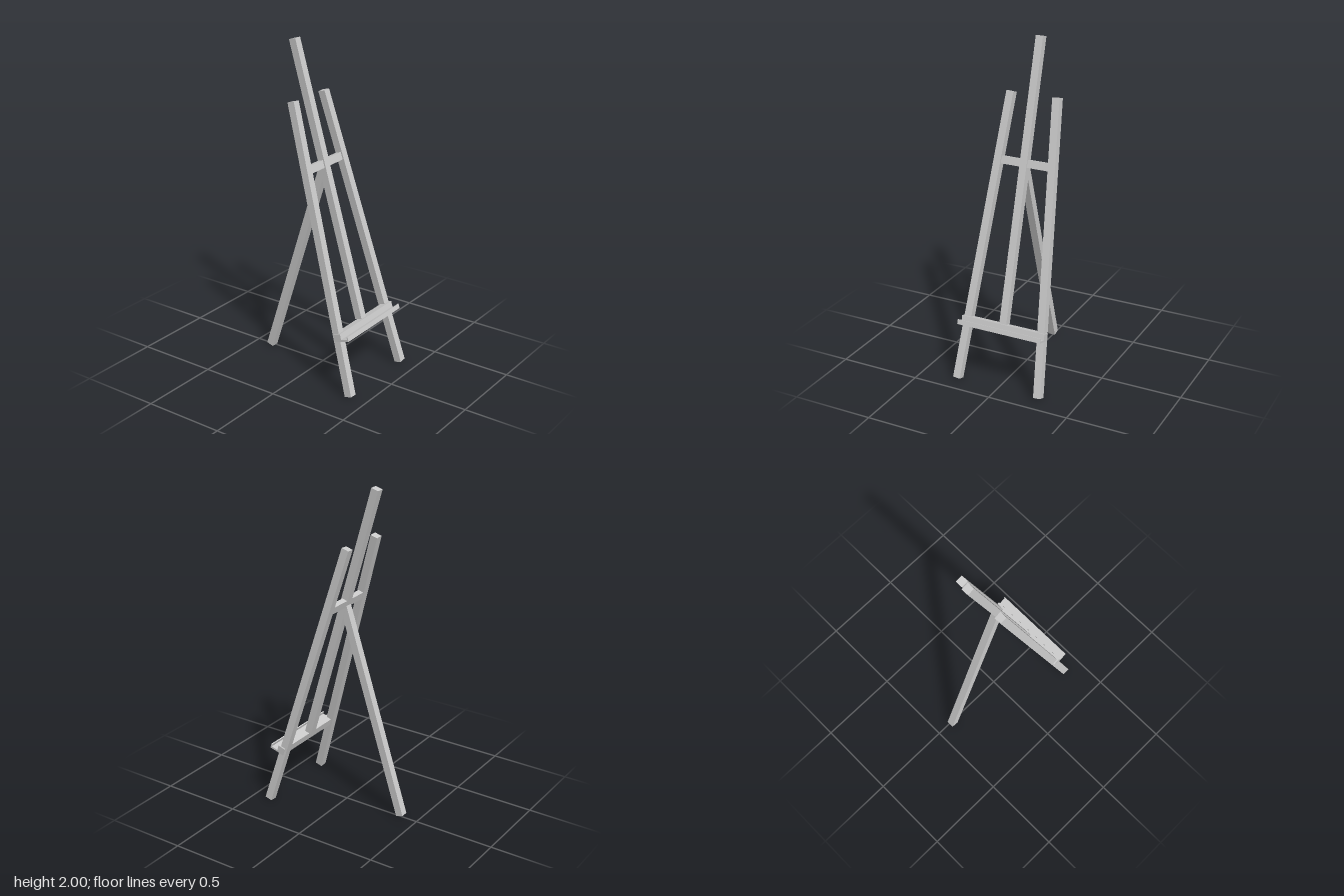
import * as THREE from 'three';

const material = new THREE.MeshStandardMaterial({ color: 0xcccccc, flatShading: true });
const S = 0.046; // timber section

// Box given by its [min, max] range on each axis
function bar(name, [x0, x1], [y0, y1], [z0, z1]) {
  const mesh = new THREE.Mesh(new THREE.BoxGeometry(x1 - x0, y1 - y0, z1 - z0), material);
  mesh.position.set((x0 + x1) / 2, (y0 + y1) / 2, (z0 + z1) / 2);
  mesh.name = name;
  return mesh;
}

// Square beam running between two centre points
function beam(name, from, to) {
  const dir = to.clone().sub(from);
  const mesh = new THREE.Mesh(new THREE.BoxGeometry(S, dir.length(), S), material);
  mesh.position.copy(from).add(to).multiplyScalar(0.5);
  mesh.quaternion.setFromUnitVectors(new THREE.Vector3(0, 1, 0), dir.normalize());
  mesh.name = name;
  return mesh;
}

export function createModel() {
  const easel = new THREE.Group();
  easel.name = 'easel';

  // Leaning front frame: local y runs up the slope, z = 0 is its front face
  const frame = new THREE.Group();
  frame.name = 'frontFrame';
  frame.position.set(0, 0.013, 0.41);
  frame.rotation.x = -0.284;
  easel.add(frame);

  // Converging front legs
  for (const [name, bottomX, topX] of [['leftLeg', 0.267, 0.143], ['rightLeg', -0.267, -0.15]]) {
    frame.add(beam(name, new THREE.Vector3(bottomX, 0.001, -S / 2), new THREE.Vector3(topX, 1.735, -S / 2)));
  }

  // Central mast standing on the lower crossbar
  frame.add(bar('mast', [-0.031, 0.015], [0.386, 2.07], [-S, 0]));

  // Crossbars
  frame.add(bar('upperCrossbar', [-0.162, 0.157], [1.313, 1.359], [-0.042, -0.008]));
  frame.add(bar('lowerCrossbar', [-0.272, 0.27], [0.34, 0.386], [-0.033, 0.0137]));

  // Canvas tray with its retaining lip
  frame.add(bar('trayShelf', [-0.272, 0.27], [0.34, 0.352], [0.0137, 0.064]));
  frame.add(bar('trayLip', [-0.272, 0.27], [0.352, 0.368], [0.057, 0.064]));

  // Rear prop leg, meeting the back of the mast
  easel.add(beam('rearLeg', new THREE.Vector3(-0.009, 0.007, -0.388), new THREE.Vector3(-0.009, 1.272, 0.018)));

  return easel;
}
